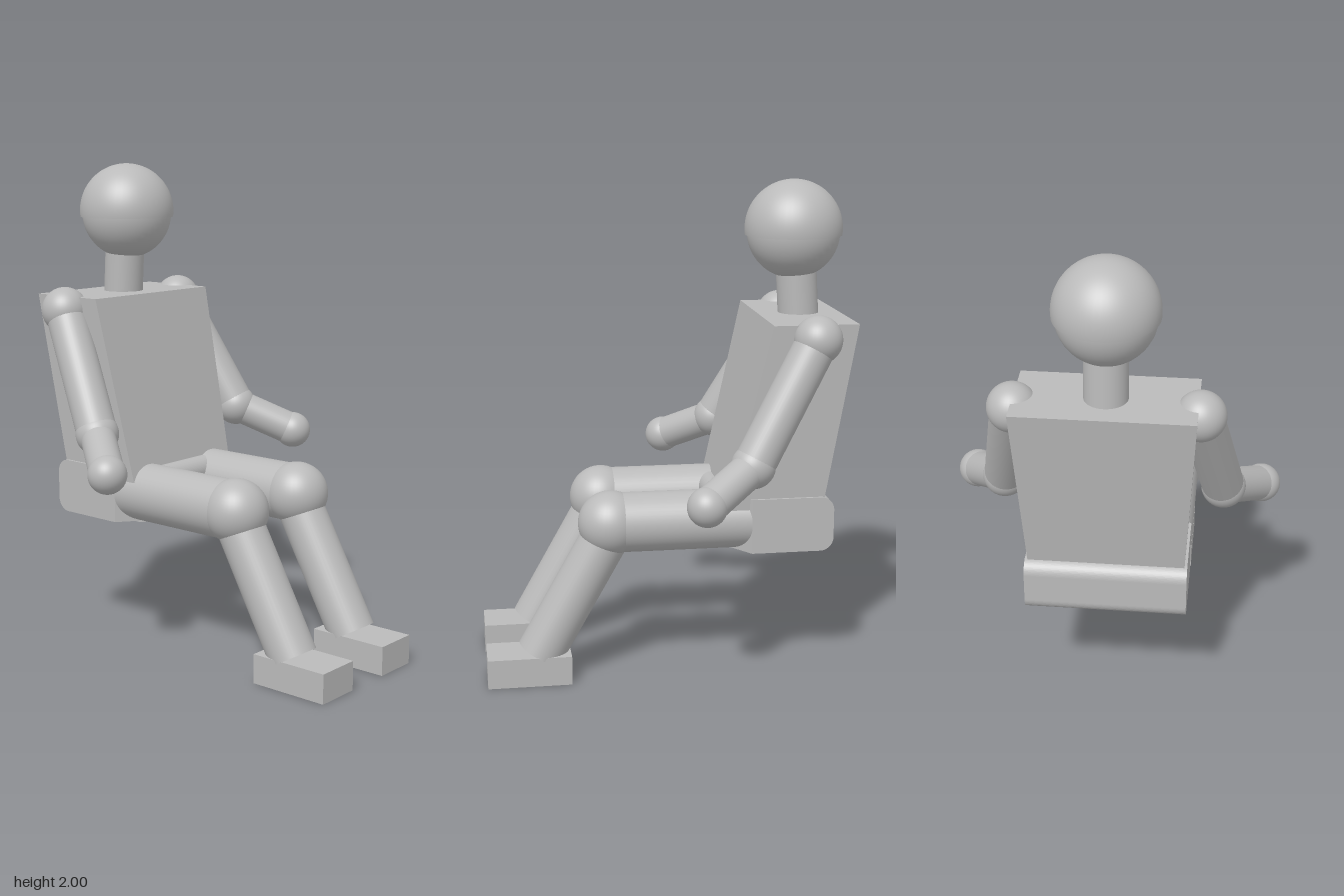
import * as THREE from 'three';

const grey = new THREE.MeshStandardMaterial({ color: 0xbababa });
grey.name = 'plain grey';

function add(group, name, geometry, x = 0, y = 0, z = 0) {
  const mesh = new THREE.Mesh(geometry, grey);
  mesh.name = name;
  mesh.position.set(x, y, z);
  group.add(mesh);
  return mesh;
}

function ball(group, name, p, r) {
  return add(group, name, new THREE.SphereGeometry(r, 40, 28), ...p);
}

// Cylinder running from point a to point b
function rod(group, name, a, b, r) {
  const from = new THREE.Vector3(...a), to = new THREE.Vector3(...b);
  const dir = to.clone().sub(from);
  const mesh = add(group, name, new THREE.CylinderGeometry(r, r, dir.length(), 40));
  mesh.position.copy(from).add(to).multiplyScalar(0.5);
  mesh.quaternion.setFromUnitVectors(new THREE.Vector3(0, 1, 0), dir.normalize());
  return mesh;
}

// Side profile extruded across the full width
function slab(shape, halfWidth) {
  const g = new THREE.ExtrudeGeometry(shape, { depth: 2 * halfWidth, bevelEnabled: false, curveSegments: 8 });
  return g.translate(0, 0, -halfWidth);
}

export function createModel() {
  const model = new THREE.Group();
  model.name = 'seatedDummy';

  // Head: ball with a slightly larger cap, closed underneath
  const head = new THREE.Group();
  head.name = 'head';
  model.add(head);
  ball(head, 'face', [-0.547, 1.79, 0], 0.189);
  const capR = 0.199, drop = 0.025;
  const cut = Math.acos(-drop / capR);
  add(head, 'skullCap', new THREE.SphereGeometry(capR, 48, 28, 0, Math.PI * 2, 0, cut), -0.547, 1.801, 0);
  add(head, 'capRim', new THREE.CircleGeometry(capR * Math.sin(cut), 48).rotateX(Math.PI / 2), -0.547, 1.801 - drop, 0);
  rod(model, 'neck', [-0.575, 1.42, 0], [-0.56, 1.66, 0], 0.083);

  // Torso: box leaning back, wider at the shoulders
  const torso = new THREE.BoxGeometry(1, 1, 1);
  const p = torso.attributes.position;
  for (let i = 0; i < p.count; i++) {
    const top = p.getY(i) > 0, front = p.getX(i) > 0, side = Math.sign(p.getZ(i));
    p.setXYZ(i, top ? (front ? -0.4 : -0.74) : (front ? -0.23 : -0.62), top ? 1.46 : 0.71, side * (top ? 0.34 : 0.302));
  }
  torso.computeVertexNormals();
  add(model, 'torso', torso);

  // Pelvis: rounded back block plus a front block that narrows between the legs
  const pelvis = new THREE.Group();
  pelvis.name = 'pelvis';
  model.add(pelvis);
  const y0 = 0.53, y1 = 0.755, xb = -0.665, xm = -0.33, xf = -0.18, r = 0.055;
  const back = new THREE.Shape();
  back.moveTo(xm, y0).lineTo(xm, y1).lineTo(xb + r, y1);
  back.absarc(xb + r, y1 - r, r, Math.PI / 2, Math.PI, false);
  back.absarc(xb + r, y0 + r, r, Math.PI, Math.PI * 1.5, false);
  add(pelvis, 'pelvisBack', slab(back, 0.315));
  const front = new THREE.Shape();
  front.moveTo(xm, y1).lineTo(xm, y0).lineTo(xf - r, y0);
  front.absarc(xf - r, y0 + r, r, -Math.PI / 2, 0, false);
  front.absarc(xf - r, y1 - r, r, 0, Math.PI / 2, false);
  const frontGeo = slab(front, 0.315);
  const f = frontGeo.attributes.position;
  for (let i = 0; i < f.count; i++) {
    const t = (f.getX(i) - xm) / (xf - xm);
    f.setZ(i, f.getZ(i) * (1 - 0.65 * t));
  }
  frontGeo.computeVertexNormals();
  add(pelvis, 'pelvisFront', frontGeo);
  rod(model, 'mountingPeg', [-0.474, 0.45, 0], [-0.474, 0.56, 0], 0.033);

  // Limbs, mirrored across the z = 0 plane
  for (const s of [1, -1]) {
    const label = s > 0 ? 'near' : 'far';
    const leg = new THREE.Group();
    leg.name = label + 'Leg';
    model.add(leg);
    const z = s * 0.196, knee = [0.23, 0.65, z];
    rod(leg, 'thigh', [-0.33, 0.65, z], knee, 0.121);
    ball(leg, 'knee', knee, 0.131);
    rod(leg, 'shin', [0.218, 0.65, z], [0.522, 0.11, z], 0.097);
    add(leg, 'foot', new THREE.BoxGeometry(0.34, 0.12, 0.192), 0.57, 0.06, z);

    const arm = new THREE.Group();
    arm.name = label + 'Arm';
    model.add(arm);
    const shoulder = [-0.573, 1.403, s * 0.347];
    const elbow = [-0.303, 0.928, s * 0.436];
    const hand = [-0.097, 0.817, s * 0.587];
    ball(arm, 'shoulder', shoulder, 0.096);
    rod(arm, 'upperArm', shoulder, elbow, 0.083);
    ball(arm, 'elbow', elbow, 0.088);
    rod(arm, 'forearm', elbow, hand, 0.071);
    ball(arm, 'hand', hand, 0.078);
  }
  return model;
}
